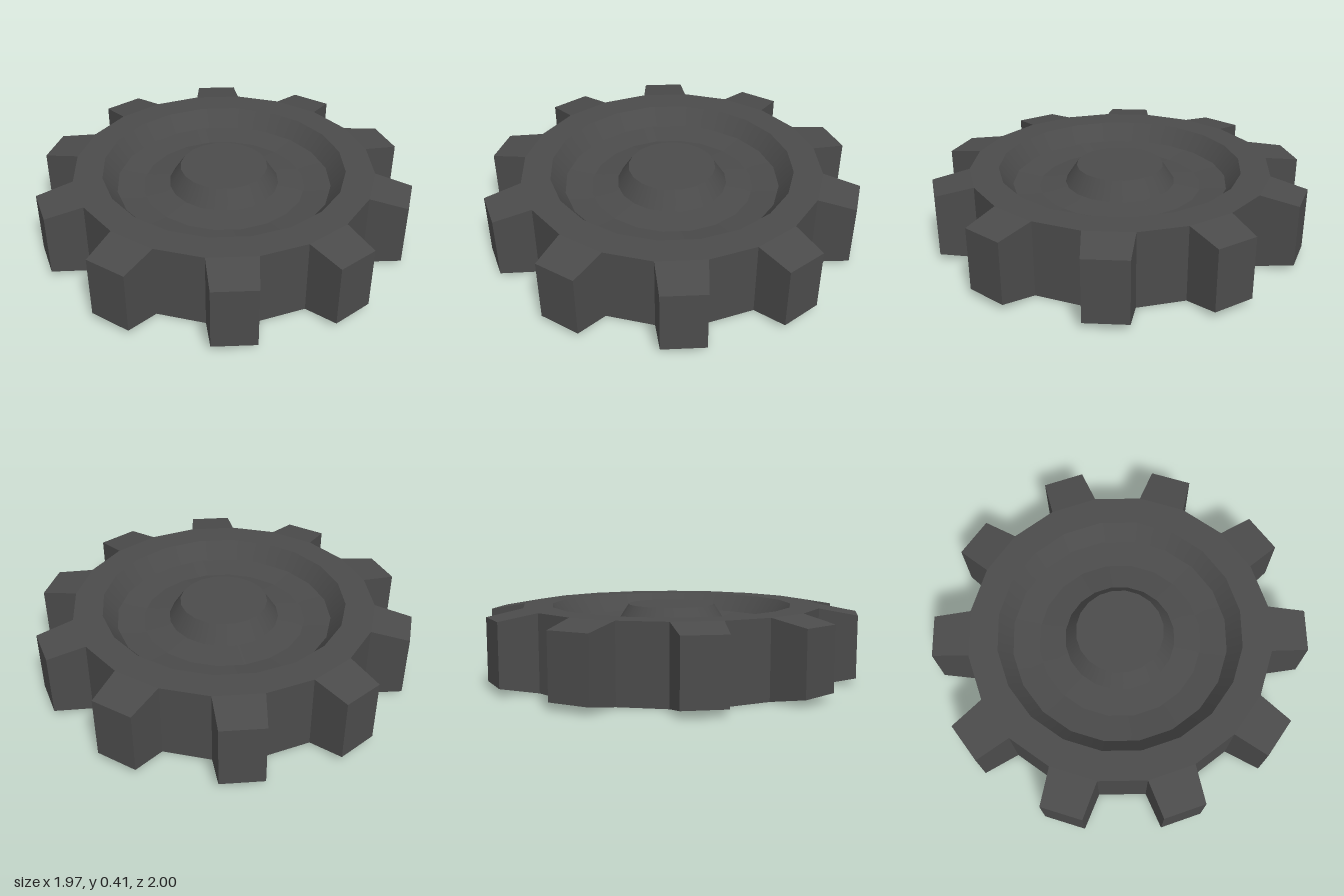
import * as THREE from 'three';
import { mergeGeometries } from 'three/addons/utils/BufferGeometryUtils.js';

const TEETH = 10, SIDES = TEETH * 2;
const HEIGHT = 0.405, RIM = 0.81;
const STEP = Math.PI / TEETH;               // one tooth or one gap
const FLAT = RIM * Math.cos(STEP / 2);      // distance of rim flats from the axis
const HALF = RIM * Math.sin(STEP / 2);      // half width of a rim flat

// Lathes each stretch of a profile separately: smooth round the axis, sharp between bands
function bandedLathe(profile) {
  const bands = [];
  for (let i = 0; i < profile.length - 1; i++) {
    const pts = [profile[i], profile[i + 1]].map(([r, y]) => new THREE.Vector2(r, y));
    bands.push(new THREE.LatheGeometry(pts, SIDES, STEP / 2));
  }
  return mergeGeometries(bands);
}

// Block that narrows in width and height towards its tip, open where it meets the rim
function toothGeometry() {
  const g = new THREE.BoxGeometry(1, 1, 1);
  const p = g.attributes.position;
  for (let i = 0; i < p.count; i++) {
    const tip = p.getZ(i) > 0;
    const x = Math.sign(p.getX(i)) * (tip ? 0.112 : HALF);
    const up = p.getY(i) > 0;
    const y = up ? (tip ? 0.37 : HEIGHT) : (tip ? 0.038 : 0);
    p.setXYZ(i, x, y, tip ? 1 : FLAT);
  }
  g.setIndex(Array.from(g.index.array).slice(0, 30));
  g.clearGroups();
  const flat = g.toNonIndexed();
  flat.computeVertexNormals();
  return flat;
}

export function createModel() {
  const group = new THREE.Group();
  group.name = 'gear';
  const steel = new THREE.MeshStandardMaterial({ color: 0x4b4b4b });
  steel.name = 'dark steel';

  const add = (name, geometry, angle = 0) => {
    const mesh = new THREE.Mesh(geometry, steel);
    mesh.name = name;
    mesh.rotation.y = angle;
    group.add(mesh);
  };

  // Underside: hub boss, flat recess and rim, from the axis outwards
  add('underside', bandedLathe([
    [0, 0], [0.225, 0], [0.28, 0.09], [0.6, 0.09], [0.665, 0], [RIM, 0],
  ]));

  // Top: rim, recess with a shallow groove, and hub boss, from the rim inwards
  add('topside', bandedLathe([
    [RIM, HEIGHT], [0.655, HEIGHT], [0.582, 0.31], [0.44, 0.29],
    [0.297, 0.31], [0.235, HEIGHT], [0, HEIGHT],
  ]));

  // Teeth and the flat rim walls between them
  const tooth = toothGeometry();
  const wall = new THREE.PlaneGeometry(HALF * 2, HEIGHT).translate(0, HEIGHT / 2, FLAT);
  for (let i = 0; i < TEETH; i++) {
    add('tooth', tooth, i * 2 * STEP);
    add('rimWall', wall, (i * 2 + 1) * STEP);
  }
  return group;
}
